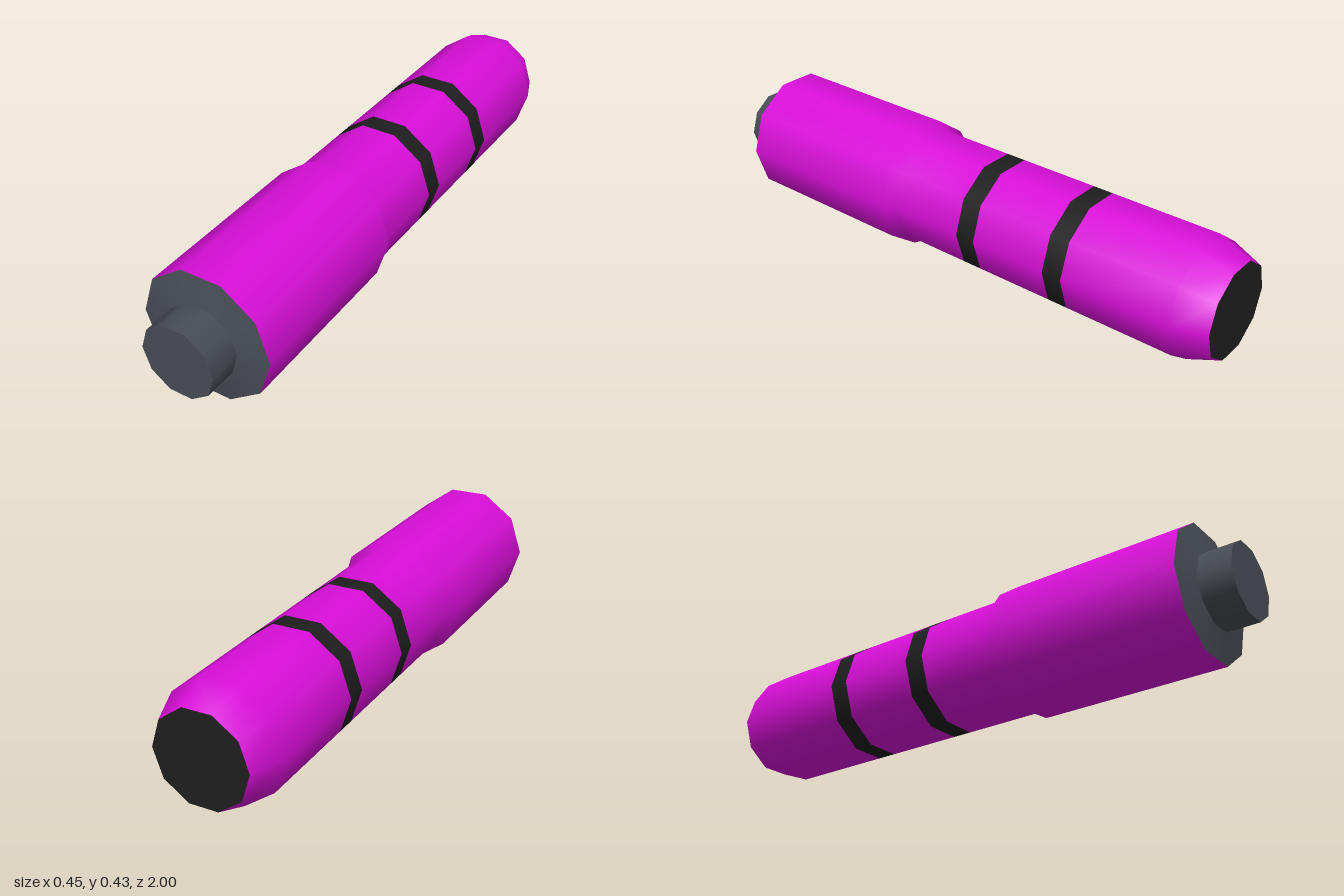
import * as THREE from 'three';

const SIDES = 10;
const AXIS_Y = 0.217;

function material(name, color) {
  const m = new THREE.MeshStandardMaterial({ color });
  m.name = name;
  return m;
}

export function createModel() {
  const magenta = material('magenta', 0xda0fda);
  const black = material('black', 0x1e1e1e);
  const grey = material('slateGrey', 0x484d55);

  const group = new THREE.Group();
  group.name = 'handle';

  // Ten-sided turned section along z; profile is [radius, z] from back to front
  function turned(name, mat, profile) {
    const points = profile.map(([r, z]) => new THREE.Vector2(r, z));
    const geometry = new THREE.LatheGeometry(points, SIDES, Math.PI / 2);
    geometry.rotateX(Math.PI / 2);
    const mesh = new THREE.Mesh(geometry, mat);
    mesh.name = name;
    mesh.position.y = AXIS_Y;
    group.add(mesh);
  }

  const R = 0.203; // rear barrel
  const G = 0.227; // front grip

  // Barrel sections between the bands
  turned('rearBarrel', magenta, [[0.16, -1], [R, -0.89], [R, -0.51]]);
  turned('middleBarrel', magenta, [[R, -0.44], [R, -0.163]]);
  turned('frontGrip', magenta, [[R, -0.092], [R, 0.18], [G, 0.22], [G, 0.87]]);

  // Flush dark bands and rear end
  turned('rearBand', black, [[R, -0.51], [R, -0.44]]);
  turned('frontBand', black, [[R, -0.163], [R, -0.092]]);
  turned('rearCap', black, [[0, -1], [0.16, -1]]);

  // Shallow collar and stub at the front
  turned('collar', grey, [[G, 0.87], [0.127, 0.89]]);
  turned('stub', grey, [[0.127, 0.89], [0.127, 1]]);
  turned('stubFace', grey, [[0.127, 1], [0, 1]]);

  return group;
}
